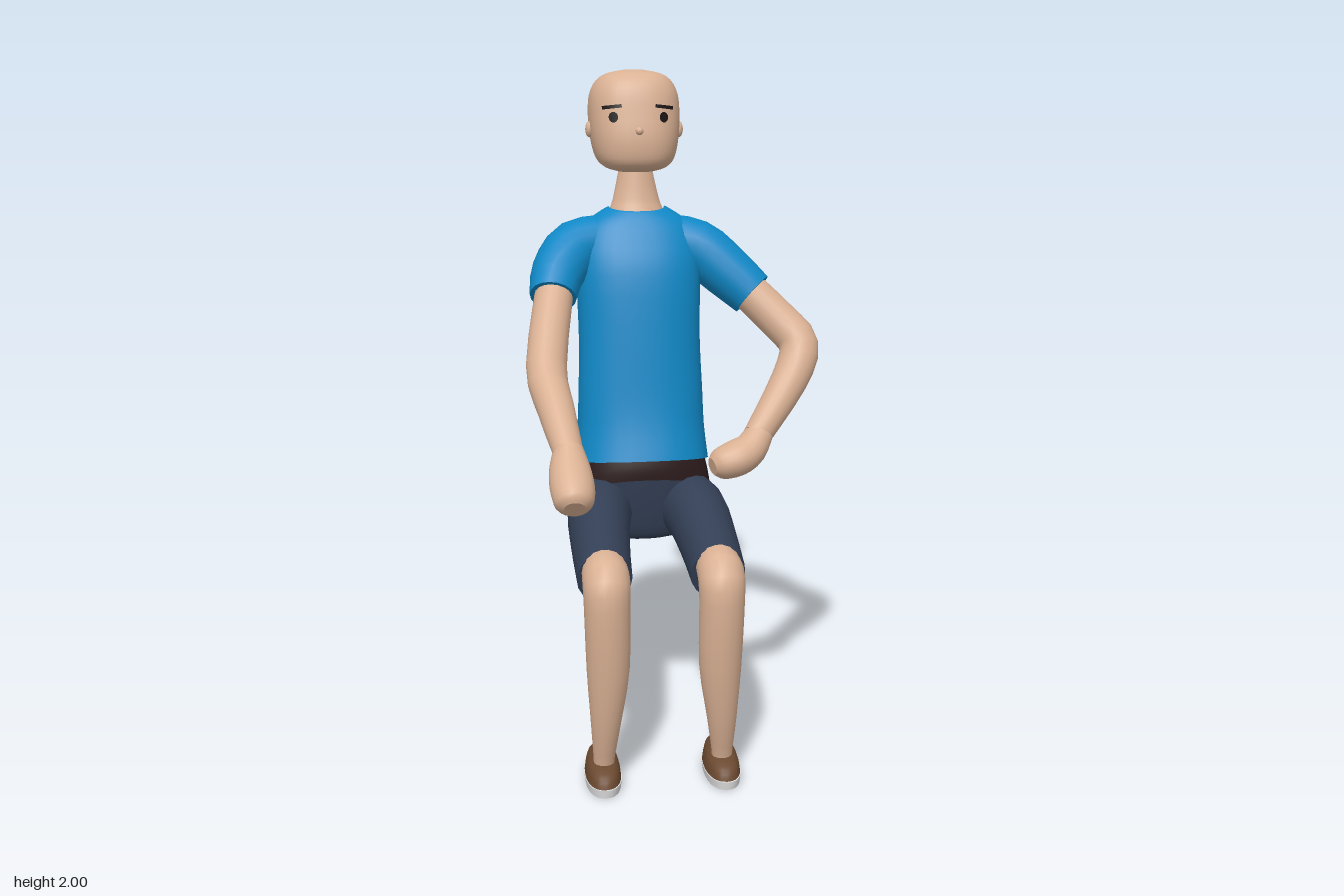
import * as THREE from 'three';

const mat = (name, color, side = THREE.FrontSide) => {
  const m = new THREE.MeshStandardMaterial({ color, side });
  m.name = name;
  return m;
};

// Catmull-Rom interpolation of rows of numbers, k steps per span
function smooth(rows, k) {
  const out = [], at = i => rows[Math.min(Math.max(i, 0), rows.length - 1)];
  for (let i = 0; i < rows.length - 1; i++) {
    for (let s = 0; s < k; s++) {
      const t = s / k, [a, b, c, d] = [at(i - 1), at(i), at(i + 1), at(i + 2)];
      out.push(b.map((v, n) => v + 0.5 * t * (c[n] - a[n] +
        t * (2 * a[n] - 5 * v + 4 * c[n] - d[n] + t * (3 * (v - c[n]) + d[n] - a[n])))));
    }
  }
  out.push(rows[rows.length - 1]);
  return out;
}

// Skin a list of rings (arrays of Vector3), with optional flat caps
function skin(rings, caps = true) {
  const pos = [], idx = [], n = rings[0].length;
  rings.forEach(r => r.forEach(p => pos.push(p.x, p.y, p.z)));
  for (let i = 0; i < rings.length - 1; i++) {
    for (let j = 0; j < n; j++) {
      const a = i * n + j, b = i * n + (j + 1) % n;
      idx.push(a, b, b + n, a, b + n, a + n);
    }
  }
  if (caps) {
    [rings[0], rings[rings.length - 1]].forEach((r, end) => {
      const base = pos.length / 3;
      const mid = r.reduce((s, p) => s.add(p), new THREE.Vector3()).divideScalar(n);
      [mid, ...r].forEach(p => pos.push(p.x, p.y, p.z));
      for (let j = 0; j < n; j++) {
        const a = base + 1 + j, b = base + 1 + (j + 1) % n;
        idx.push(base, end ? a : b, end ? b : a);
      }
    });
  }
  const g = new THREE.BufferGeometry();
  g.setAttribute('position', new THREE.Float32BufferAttribute(pos, 3));
  g.setIndex(idx);
  g.computeVertexNormals();
  return g;
}

// Upright form: rows of [y, halfWidth, zFront, zBack, ...], listed upwards
function stack(rows, { n = 28, k = 3, power = 2, dy = () => 0, caps = true } = {}) {
  const bend = v => Math.sign(v) * Math.abs(v) ** (2 / power);
  return skin(smooth(rows, k).map(r => Array.from({ length: n }, (_, j) => {
    const a = j / n * Math.PI * 2;
    return new THREE.Vector3(r[1] * bend(Math.sin(a)), r[0] + dy(a, r),
      (r[2] + r[3]) / 2 + (r[2] - r[3]) / 2 * bend(Math.cos(a)));
  })), caps);
}

// Limb: rows of [x, y, z, radius along ref, other radius]
function limb(rows, ref = new THREE.Vector3(1, 0, 0), n = 18, k = 3) {
  const pts = smooth(rows.map(r => (r.length < 5 ? [...r, r[3]] : r)), k);
  const at = i => new THREE.Vector3(...pts[Math.min(Math.max(i, 0), pts.length - 1)].slice(0, 3));
  return skin(pts.map((p, i) => {
    const t = at(i + 1).sub(at(i - 1)).normalize();
    const u = ref.clone().addScaledVector(t, -ref.dot(t)).normalize();
    const v = t.clone().cross(u);
    return Array.from({ length: n }, (_, j) => {
      const a = j / n * Math.PI * 2;
      return at(i).addScaledVector(u, p[3] * Math.cos(a)).addScaledVector(v, p[4] * Math.sin(a));
    });
  }));
}

const HEAD = [
  [1.70, 0.05, -0.23, -0.34], [1.712, 0.09, -0.195, -0.38], [1.74, 0.118, -0.176, -0.43],
  [1.80, 0.133, -0.172, -0.465], [1.87, 0.138, -0.185, -0.478], [1.93, 0.133, -0.2, -0.472],
  [1.97, 0.112, -0.222, -0.447], [1.99, 0.08, -0.253, -0.41], [2.0, 0.03, -0.30, -0.36]];
const HEAD_POWER = 2.5;

// Depth of the face at a given point
function faceZ(x, y) {
  const i = Math.max(HEAD.findIndex(r => r[0] > y), 1), a = HEAD[i - 1], b = HEAD[i];
  const [, w, f, k] = a.map((v, n) => v + (b[n] - v) * (y - a[0]) / (b[0] - a[0]));
  return (f + k) / 2 + (f - k) / 2 * (1 - Math.abs(x / w) ** HEAD_POWER) ** (1 / HEAD_POWER);
}

// Lay a flat geometry onto the face
function onFace(g, x, y, tilt = 0) {
  g.rotateZ(tilt).translate(x, y, 0);
  const p = g.attributes.position;
  for (let i = 0; i < p.count; i++) p.setZ(i, faceZ(p.getX(i), p.getY(i)) + 0.005);
  g.computeVertexNormals();
  return g;
}

export function createModel() {
  const skinTone = mat('skin', 0xdab194);
  const blue = mat('shirt blue', 0x1088c6, THREE.DoubleSide);
  const navy = mat('shorts navy', 0x333f55);
  const dark = mat('waistband dark brown', 0x2c1b1b);
  const leather = mat('shoe brown', 0x6b4930);
  const white = mat('sole white', 0xdedede);
  const black = mat('eye black', 0x1c1614);

  const model = new THREE.Group();
  const body = new THREE.Group();
  body.name = 'body';
  body.position.x = -0.09;
  model.add(body);
  const add = (parent, name, geometry, material) => {
    const m = new THREE.Mesh(geometry, material);
    m.name = name;
    parent.add(m);
    return m;
  };

  // Head and neck
  add(body, 'head', stack(HEAD, { power: HEAD_POWER, n: 32 }), skinTone);
  add(body, 'neck', stack([[1.5, 0.07, -0.19, -0.347], [1.57, 0.085, -0.205, -0.341],
    [1.62, 0.07, -0.225, -0.336], [1.73, 0.046, -0.245, -0.34]]), skinTone);
  add(body, 'nose', new THREE.SphereGeometry(0.012, 12, 8).translate(0, 1.82, -0.176), skinTone);
  for (const s of [1, -1]) {
    const side = s > 0 ? 'left' : 'right';
    const ear = add(body, side + 'Ear', new THREE.SphereGeometry(1, 12, 10), skinTone);
    ear.scale.set(0.012, 0.024, 0.016);
    ear.position.set(s * 0.137, 1.825, -0.31);
    add(body, side + 'Eye', onFace(new THREE.CircleGeometry(0.014, 16).scale(0.95, 1.1, 1), s * 0.075, 1.86), black);
    add(body, side + 'Eyebrow', onFace(new THREE.PlaneGeometry(0.056, 0.01, 8, 1), s * 0.078, 1.89, s * -0.1), black);
  }

  // Shirt body; the last columns weight the hem curve and the low back neckline
  add(body, 'shirt', stack([
    [0.86, 0.206, -0.012, -0.352, 1, 0], [0.95, 0.195, -0.04, -0.345, 0.5, 0],
    [1.05, 0.19, -0.06, -0.325, 0, 0], [1.2, 0.185, -0.08, -0.34, 0, 0],
    [1.4, 0.188, -0.11, -0.355, 0, 0], [1.5, 0.18, -0.15, -0.352, 0, 0],
    [1.555, 0.15, -0.178, -0.345, 0, 0.3], [1.59, 0.1, -0.197, -0.336, 0, 1],
    [1.597, 0.085, -0.204, -0.332, 0, 1]], {
    power: 2.3, n: 32, caps: false,
    dy: (a, r) => {
      const c = Math.cos(a);
      const hem = -0.03 * (1 - c) - (c < 0 ? 0.07 * Math.abs(Math.sin(2 * a)) : 0);
      return r[4] * hem - r[5] * (0.05 * Math.max(0, -c) + 0.012 * Math.max(0, c));
    },
  }), blue);

  // Waistband and seat, both sloping down to the back
  const slope = (a, r) => -r[4] * (1 - Math.cos(a)) / 2;
  add(body, 'waistband', stack([[0.8, 0.214, -0.02, -0.312, 0.15], [0.84, 0.203, -0.022, -0.33, 0.08],
    [0.9, 0.18, -0.04, -0.335, 0]], { dy: slope, power: 2.2 }), dark);
  add(body, 'shortsSeat', stack([[0.6, 0.1, -0.08, -0.22, 0], [0.625, 0.17, -0.05, -0.265, 0.01],
    [0.72, 0.208, -0.03, -0.305, 0.08], [0.8, 0.214, -0.02, -0.312, 0.15]], { dy: slope, power: 2.2 }), navy);

  // Legs and shoes
  for (const s of [1, -1]) {
    const side = s > 0 ? 'left' : 'right';
    const mirror = rows => rows.map(([x, ...r]) => [s * x, ...r]);
    add(body, side + 'ShortsLeg', limb(mirror([[0.11, 0.70, -0.19, 0.1, 0.09], [0.145, 0.695, -0.03, 0.095, 0.105],
      [0.157, 0.65, 0.14, 0.085, 0.093], [0.16, 0.607, 0.29, 0.078, 0.084]])), navy);
    add(body, side + 'Leg', limb(mirror([[0.16, 0.63, 0.22, 0.06], [0.16, 0.622, 0.335, 0.066],
      [0.16, 0.55, 0.356, 0.064], [0.158, 0.36, 0.345, 0.06], [0.165, 0.2, 0.335, 0.043],
      [0.17, 0.08, 0.315, 0.03], [0.17, 0.04, 0.31, 0.03]])), skinTone);
    const shoe = new THREE.Group();
    shoe.name = side + 'Shoe';
    shoe.position.x = s * 0.172;
    body.add(shoe);
    add(shoe, 'sole', stack([[0, 0.05, 0.402, 0.178], [0.024, 0.053, 0.405, 0.175]], { k: 1, power: 2.3 }), white);
    add(shoe, 'upper', stack([[0.024, 0.051, 0.4, 0.18], [0.05, 0.047, 0.385, 0.186],
      [0.07, 0.038, 0.34, 0.192], [0.087, 0.02, 0.275, 0.215]], { power: 2.3 }), leather);
  }

  // Right arm, reaching forward
  add(model, 'rightSleeve', limb([[-0.16, 1.5, -0.27, 0.075], [-0.275, 1.475, -0.245, 0.085],
    [-0.335, 1.41, -0.175, 0.08], [-0.356, 1.345, -0.11, 0.069]], new THREE.Vector3(0, 0, 1)), blue);
  add(model, 'rightArm', limb([[-0.345, 1.39, -0.15, 0.056], [-0.388, 1.17, 0.06, 0.058],
    [-0.37, 1.07, 0.19, 0.052], [-0.345, 0.975, 0.32, 0.041]]), skinTone);
  add(model, 'rightHand', limb([[-0.346, 0.985, 0.31, 0.041], [-0.345, 0.94, 0.35, 0.056, 0.05],
    [-0.342, 0.90, 0.395, 0.06, 0.054], [-0.34, 0.868, 0.435, 0.052, 0.05],
    [-0.34, 0.856, 0.45, 0.03, 0.03]]), skinTone);

  // Left arm, elbow out with the hand over the lap
  const z = new THREE.Vector3(0, 0, 1);
  add(model, 'leftSleeve', limb([[-0.02, 1.5, -0.27, 0.075], [0.09, 1.472, -0.255, 0.085],
    [0.18, 1.4, -0.222, 0.081], [0.255, 1.332, -0.19, 0.072]], z), blue);
  add(model, 'leftArm', limb([[0.22, 1.365, -0.205, 0.058], [0.33, 1.255, -0.145, 0.06],
    [0.383, 1.185, -0.1, 0.06], [0.345, 1.09, -0.05, 0.056], [0.23, 0.94, 0.035, 0.042]], z), skinTone);
  add(model, 'leftHand', limb([[0.24, 0.95, 0.03, 0.041], [0.205, 0.905, 0.055, 0.054, 0.05],
    [0.16, 0.882, 0.07, 0.064, 0.054], [0.11, 0.868, 0.08, 0.052, 0.045],
    [0.088, 0.863, 0.085, 0.03, 0.026]], z), skinTone);

  return model;
}
